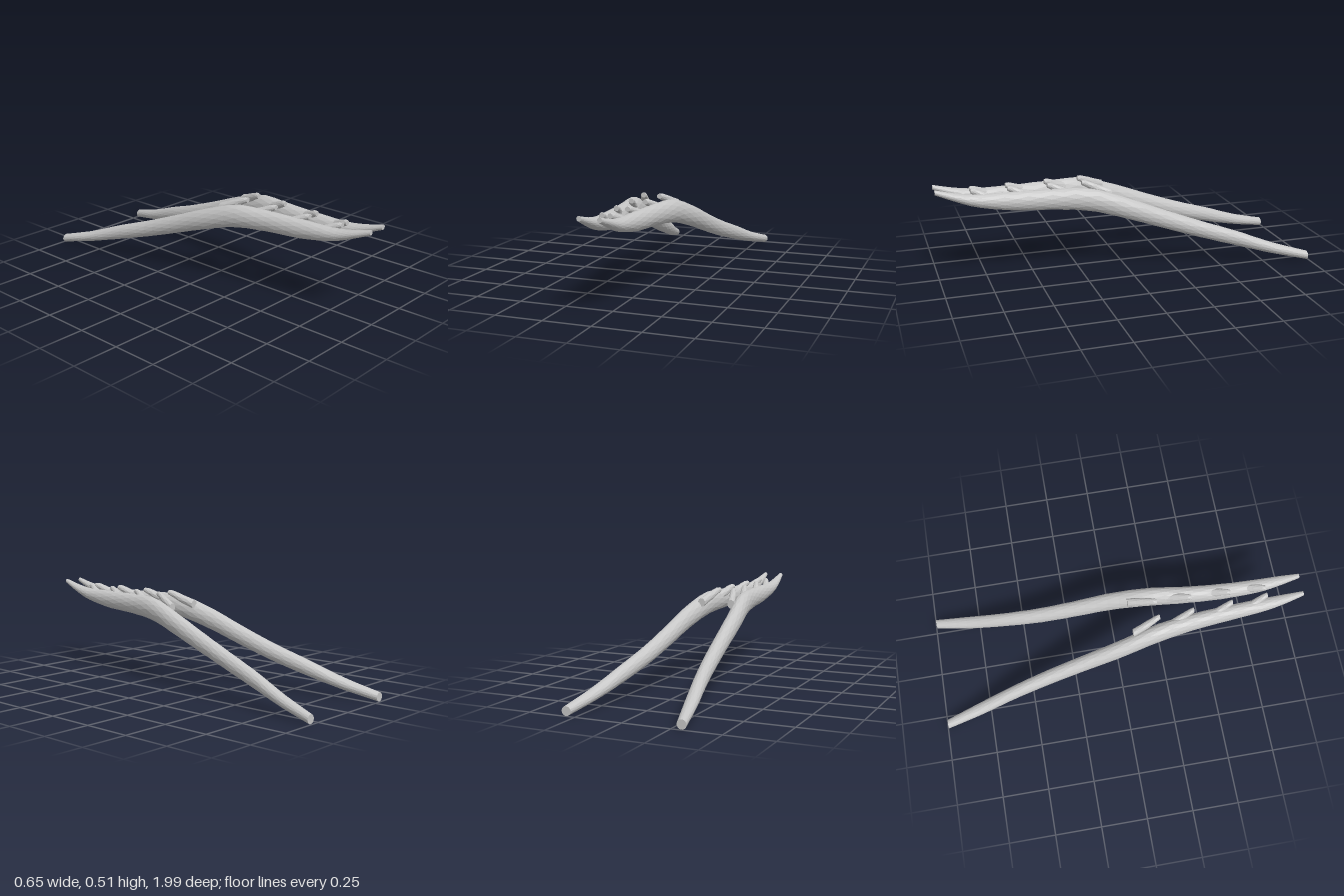
import * as THREE from 'three';

const antler = new THREE.MeshStandardMaterial({ color: 0xc6c6c6 });
antler.name = 'paleGrey';

// Faceted limb through elliptical sections [x, y, z, radiusX, radiusY], z rising; side -1 mirrors it.
function limb(name, sections, side, rings, sides) {
  const centre = new THREE.CatmullRomCurve3(sections.map(s => new THREE.Vector3(s[0], s[1], s[2])));
  const radius = new THREE.CatmullRomCurve3(sections.map(s => new THREE.Vector3(s[3], s[4], 0)));
  const pos = [], index = [];
  const face = (a, b, c) => (side > 0 ? index.push(a, b, c) : index.push(a, c, b));
  for (let i = 0; i <= rings; i++) {
    const c = centre.getPoint(i / rings), r = radius.getPoint(i / rings);
    for (let j = 0; j < sides; j++) {
      const a = (j + (i % 2) * 0.5) / sides * Math.PI * 2;
      pos.push(side * (c.x + Math.cos(a) * r.x), c.y + Math.sin(a) * r.y, c.z);
    }
  }
  for (let i = 0; i < rings; i++) {
    for (let j = 0; j < sides; j++) {
      const k = (j + 1) % sides, p = i * sides, q = p + sides;
      if (i % 2) {
        face(p + j, p + k, q + k);
        face(p + j, q + k, q + j);
      } else {
        face(p + j, p + k, q + j);
        face(p + k, q + k, q + j);
      }
    }
  }
  // Flat ends
  const last = rings * sides;
  for (let j = 1; j < sides - 1; j++) {
    face(0, j + 1, j);
    face(last, last + j, last + j + 1);
  }
  const g = new THREE.BufferGeometry();
  g.setAttribute('position', new THREE.Float32BufferAttribute(pos, 3));
  g.setIndex(index);
  const flat = g.toNonIndexed();
  flat.computeVertexNormals();
  const mesh = new THREE.Mesh(flat, antler);
  mesh.name = name;
  return mesh;
}

// Main beam, from the low back end to the raised front tip
const beam = [
  [0.3, 0.024, -0.993, 0.025, 0.024],
  [0.258, 0.073, -0.8, 0.034, 0.031],
  [0.216, 0.137, -0.6, 0.036, 0.042],
  [0.183, 0.2, -0.4, 0.039, 0.047],
  [0.16, 0.27, -0.2, 0.041, 0.052],
  [0.14, 0.343, 0, 0.044, 0.058],
  [0.108, 0.402, 0.2, 0.046, 0.062],
  [0.08, 0.414, 0.4, 0.043, 0.055],
  [0.064, 0.419, 0.6, 0.04, 0.05],
  [0.056, 0.438, 0.8, 0.035, 0.033],
  [0.054, 0.464, 0.9, 0.026, 0.022],
  [0.051, 0.497, 1, 0.012, 0.013],
];

// Tips of the short tines: x, z
const tines = [[0.044, 0.23], [0.037, 0.415], [0.029, 0.625], [0.021, 0.815]];

export function createModel() {
  const model = new THREE.Group();
  model.name = 'antlerPair';
  for (const side of [1, -1]) {
    const half = new THREE.Group();
    half.name = side > 0 ? 'leftAntler' : 'rightAntler';
    half.add(limb('beam', beam, side, 36, 14));
    // Tines leave the inner top of the beam and point forward and inward
    for (const [x, z] of tines) {
      half.add(limb('tine', [
        [x + 0.045, 0.42, z - 0.15, 0.022, 0.025],
        [x + 0.022, 0.452, z - 0.07, 0.021, 0.023],
        [x + 0.006, 0.475, z - 0.02, 0.017, 0.018],
        [x, 0.48, z, 0.014, 0.013],
      ], side, 6, 9));
    }
    model.add(half);
  }
  return model;
}
